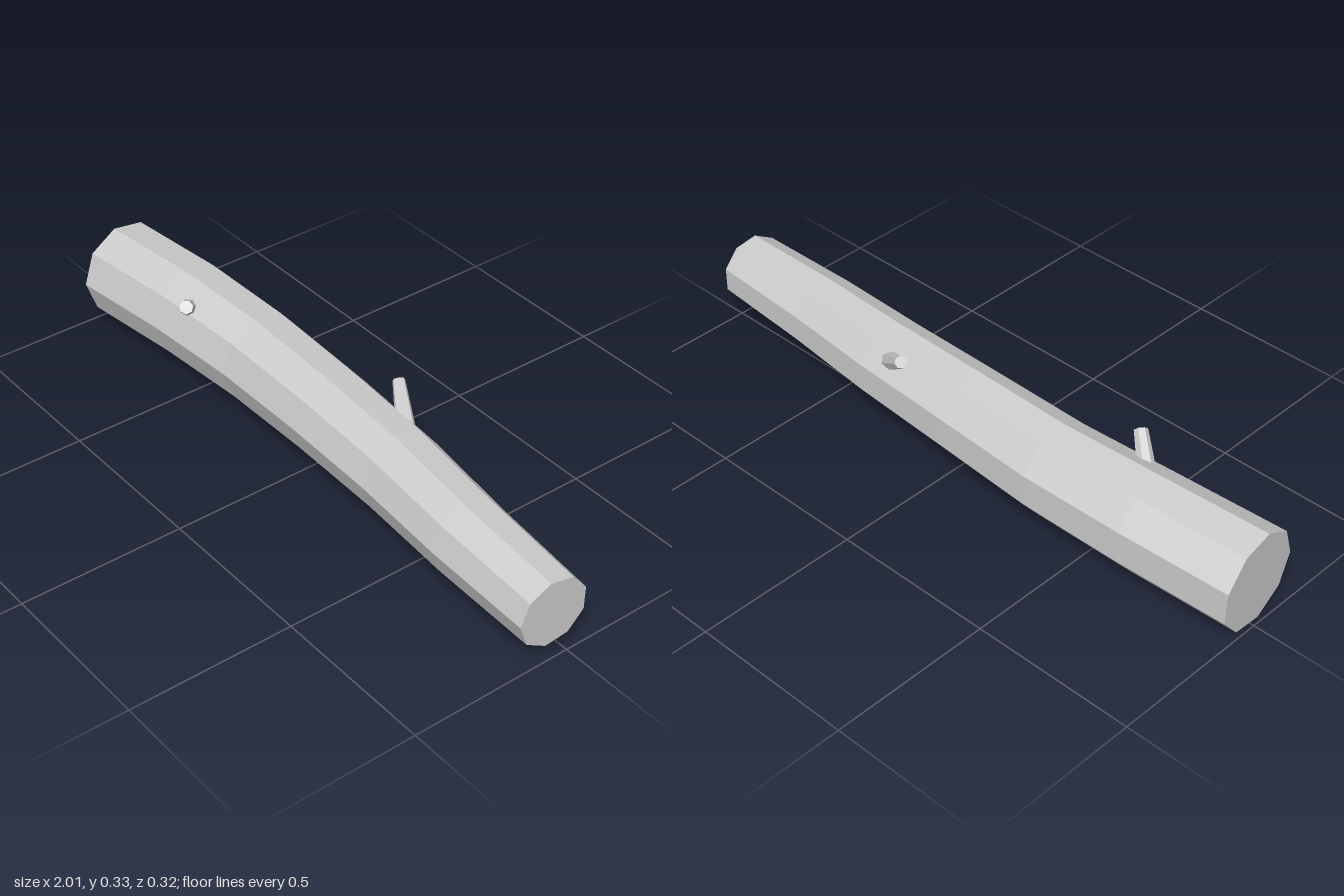
import * as THREE from 'three';

const SIDES = 9;
// trunk stations: x, centre y, centre z, radius
const STATIONS = [
  [-0.993, 0.147, 0.007, 0.148],
  [-0.65, 0.159, -0.018, 0.146],
  [-0.33, 0.162, -0.028, 0.140],
  [0, 0.167, -0.016, 0.133],
  [0.33, 0.165, 0.001, 0.126],
  [0.65, 0.158, 0.031, 0.117],
  [0.995, 0.151, 0.051, 0.106],
];

const material = new THREE.MeshStandardMaterial({ color: 0xcccccc, flatShading: true });

// Nine-sided rings, each square to the bending centre line
function trunkGeometry() {
  const positions = [];
  const index = [];
  const last = STATIONS.length - 1;
  STATIONS.forEach(([x, y, z, r], i) => {
    const a = STATIONS[Math.max(i - 1, 0)];
    const b = STATIONS[Math.min(i + 1, last)];
    const slopeY = (b[1] - a[1]) / (b[0] - a[0]);
    const slopeZ = (b[2] - a[2]) / (b[0] - a[0]);
    for (let k = 0; k < SIDES; k++) {
      const angle = (k / SIDES) * Math.PI * 2;
      const dz = Math.cos(angle) * r;
      const dy = Math.sin(angle) * r;
      positions.push(x - slopeY * dy - slopeZ * dz, y + dy, z + dz);
    }
  });
  // bark facets
  for (let i = 0; i < last; i++) {
    for (let k = 0; k < SIDES; k++) {
      const n = (k + 1) % SIDES;
      const a = i * SIDES + k, b = i * SIDES + n;
      const c = a + SIDES, d = b + SIDES;
      index.push(a, c, b, b, c, d);
    }
  }
  // sawn ends
  const end = last * SIDES;
  for (let k = 1; k < SIDES - 1; k++) {
    index.push(0, k, k + 1);
    index.push(end, end + k + 1, end + k);
  }
  const geometry = new THREE.BufferGeometry();
  geometry.setAttribute('position', new THREE.Float32BufferAttribute(positions, 3));
  geometry.setIndex(index);
  const flat = geometry.toNonIndexed();
  flat.computeVertexNormals();
  return flat;
}

// Tapered branch stub from inside the trunk to its cut tip
function branchStub(name, base, tip, baseRadius, tipRadius) {
  const from = new THREE.Vector3(...base);
  const to = new THREE.Vector3(...tip);
  const axis = to.clone().sub(from);
  const mesh = new THREE.Mesh(
    new THREE.CylinderGeometry(tipRadius, baseRadius, axis.length(), 7), material);
  mesh.name = name;
  mesh.position.copy(from).add(to).multiplyScalar(0.5);
  mesh.quaternion.setFromUnitVectors(new THREE.Vector3(0, 1, 0), axis.normalize());
  return mesh;
}

export function createModel() {
  const log = new THREE.Group();
  log.name = 'log';
  const trunk = new THREE.Mesh(trunkGeometry(), material);
  trunk.name = 'trunk';
  log.add(
    trunk,
    branchStub('frontBranchStub', [-0.6, 0.215, 0.035], [-0.497, 0.304, 0.116], 0.029, 0.02),
    branchStub('backBranchStub', [0.28, 0.225, -0.062], [0.163, 0.315, -0.128], 0.03, 0.018),
  );
  return log;
}
